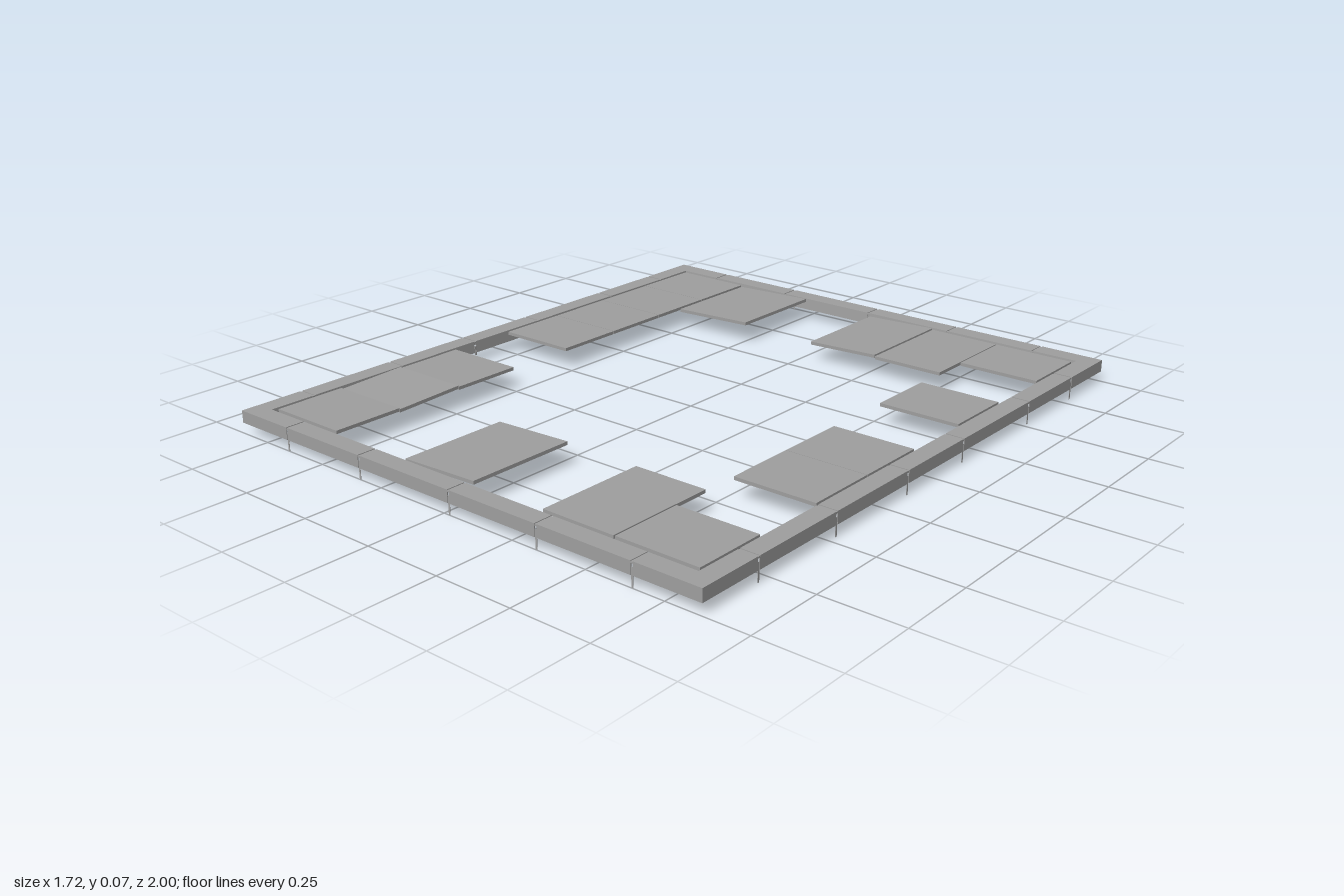
import * as THREE from 'three';

const grey = new THREE.MeshStandardMaterial({ color: 0xa0a0a0, flatShading: true, side: THREE.DoubleSide });

const X = 0.862, Z = 1, WIDTH = 0.06; // outer half sizes and width of the border
const BOTTOM = 0.033, TOP = 0.071, WALL = 0.003, GAP = 0.004;

// Box given by its min and max corners
function block(parent, name, x0, x1, y0, y1, z0, z1) {
  const mesh = new THREE.Mesh(new THREE.BoxGeometry(x1 - x0, y1 - y0, z1 - z0), grey);
  mesh.position.set((x0 + x1) / 2, (y0 + y1) / 2, (z0 + z1) / 2);
  mesh.name = name;
  parent.add(mesh);
  return mesh;
}

// Thin-walled channel, open below, running from x = a to x = b; corner ends are mitred
function channel(parent, a, b, half, outer) {
  const shape = new THREE.Shape([
    [0, BOTTOM], [0, TOP], [WIDTH, TOP], [WIDTH + 0.003, BOTTOM],
    [WIDTH, BOTTOM], [WIDTH - WALL, TOP - WALL], [WALL, TOP - WALL], [WALL, BOTTOM],
  ].map(([inset, y]) => new THREE.Vector2(inset - outer, y)));
  const geometry = new THREE.ExtrudeGeometry(shape, { depth: b - a, bevelEnabled: false });
  geometry.rotateY(Math.PI / 2).translate(a, 0, 0);
  const p = geometry.attributes.position;
  for (let i = 0; i < p.count; i++) {
    const x = p.getX(i);
    if (Math.abs(x) > half - 1e-4) p.setX(i, x - Math.sign(x) * (outer - p.getZ(i)));
  }
  geometry.computeVertexNormals();
  const mesh = new THREE.Mesh(geometry, grey);
  mesh.name = 'borderChannel';
  parent.add(mesh);
}

// One border side along local x, with its outer face towards +z
function borderSide(name, half, outer, joints, angle) {
  const side = new THREE.Group();
  side.name = name;
  const ends = [-half, ...joints, half];
  for (let i = 0; i < ends.length - 1; i++) {
    const a = ends[i] + (i ? GAP : 0);
    const b = ends[i + 1] - (i < ends.length - 2 ? GAP : 0);
    channel(side, a, b, half, outer);
  }
  // Bracket in each joint: top strap, long outer leg, short inner leg
  const inner = outer - WIDTH;
  for (const x of joints) {
    block(side, 'jointStrap', x - GAP, x + GAP, 0.064, TOP - 0.002, inner, outer - 0.001);
    block(side, 'outerLeg', x - 0.003, x + 0.003, 0, 0.055, outer - 0.002, outer - 0.001);
    block(side, 'innerLeg', x - 0.003, x + 0.003, 0.025, 0.055, inner - 0.003, inner);
  }
  side.rotation.y = angle;
  return side;
}

export function createModel() {
  const model = new THREE.Group();
  model.name = 'tiledFrame';

  // Four border sides
  const across = [-0.65, -0.337, 0.02, 0.335, 0.65];
  const rightHand = [-0.79, -0.52, -0.145, 0.14, 0.47, 0.79];
  const leftHand = [-0.79, -0.52, -0.15, 0.14, 0.45, 0.79];
  model.add(borderSide('frontBorder', X, Z, across, 0));
  model.add(borderSide('backBorder', X, Z, across.map((x) => -x).reverse(), Math.PI));
  model.add(borderSide('leftBorder', Z, X, rightHand.map((z) => -z).reverse(), Math.PI / 2));
  model.add(borderSide('rightBorder', Z, X, leftHand, -Math.PI / 2));

  // Slabs: x0, x1, z0, z1, then tilt about x and about z; a few lie slightly crooked
  const TILT = 0.035;
  const slabs = [
    [-0.525, -0.235, -0.927, -0.575, 0, TILT],
    [0.035, 0.285, -0.927, -0.575, 0, TILT],
    [0.285, 0.525, -0.927, -0.575],
    [-0.235, 0.035, 0.572, 0.925, 0, TILT],
    [0.285, 0.525, 0.572, 0.925],
  ];
  for (const z of [-0.927, -0.696, -0.465, -0.234, 0.231, 0.462, 0.693]) {
    slabs.push([-0.794, -0.527, z, z + 0.231, z === 0.462 ? TILT : 0]);
  }
  for (const z of [-0.927, -0.465, 0, 0.231, 0.693]) slabs.push([0.527, 0.793, z, z + 0.231]);
  for (const [x0, x1, z0, z1, tiltX = 0, tiltZ = 0] of slabs) {
    const slab = block(model, 'slab', x0 + 0.001, x1 - 0.001, 0.059, 0.0695, z0 + 0.001, z1 - 0.001);
    slab.rotation.set(tiltX, 0, tiltZ);
  }
  return model;
}
